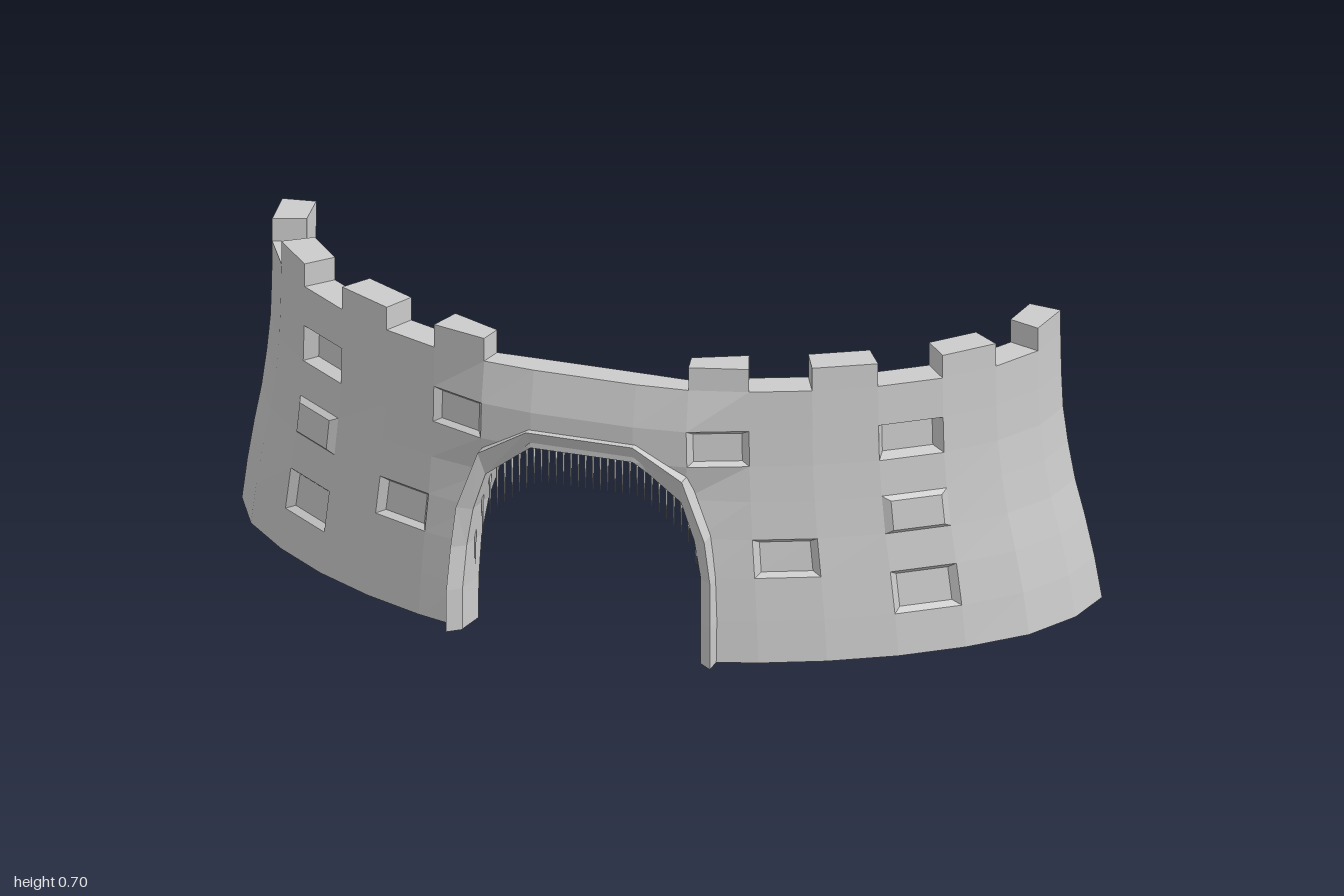
import * as THREE from 'three';

const material = new THREE.MeshStandardMaterial({ color: 0xcccccc, flatShading: true, side: THREE.DoubleSide });

// Half plan of the outer face [x, z], from the gate centre to the wall end
const TOP = [[0, 0.285], [0.12, 0.285], [0.24, 0.275], [0.37, 0.24], [0.5, 0.187], [0.63, 0.115],
  [0.75, 0.025], [0.84, -0.075], [0.9, -0.185], [0.915, -0.295]];
const BASE = [[0, 0.31], [0.12, 0.31], [0.28, 0.297], [0.4, 0.26], [0.54, 0.2], [0.68, 0.12],
  [0.805, 0.025], [0.915, -0.085], [0.98, -0.21], [1, -0.33]];
const LAST = TOP.length - 1;

// Course heights, and how far each course flares towards the base plan
const ROWS = [0, 0.1, 0.2, 0.29, 0.38, 0.465, 0.55, 0.645, 0.7];
const FLARE = [1, 0.82, 0.59, 0.35, 0.18, 0.06, 0.02, 0, 0];
const MERLON_ROW = 7;

// Gate opening (half, from ground to crown) and the outer edge of its surround
const ARCH = [[0.28, 0], [0.28, 0.1], [0.275, 0.2], [0.26, 0.29], [0.23, 0.38], [0.12, 0.465]];
const SURROUND = [[0.31, 0], [0.31, 0.1], [0.305, 0.2], [0.292, 0.3], [0.24, 0.44], [0.125, 0.508]];
const SURROUND_Z = [0.33, 0.33, 0.316, 0.317, 0.32, 0.323];

// Panels set into the wall: "column,row" -> depth (negative stands proud)
const PANELS = { '5,5': 0.03, '5,3': -0.012, '5,1': 0.015, '3,2': 0.015, '2,5': 0.012 };

function meshFromQuads(name, quads) {
  const pos = [];
  for (const [a, b, c, d] of quads) {
    for (const p of [a, b, c, a, c, d]) pos.push(p.x, p.y, p.z);
  }
  const geo = new THREE.BufferGeometry();
  geo.setAttribute('position', new THREE.Float32BufferAttribute(pos, 3));
  geo.computeVertexNormals();
  const mesh = new THREE.Mesh(geo, material);
  mesh.name = name;
  return mesh;
}

// Point on the outer face at station k (-LAST..LAST) and course j
function outer(k, j) {
  const i = Math.abs(k);
  const f = FLARE[j];
  let x = THREE.MathUtils.lerp(TOP[i][0], BASE[i][0], f);
  let z = THREE.MathUtils.lerp(TOP[i][1], BASE[i][1], f);
  let y = ROWS[j];
  if (i === 2 && j < 5) x = ARCH[j][0]; // gate jamb
  if (i < 3 && (j === 5 || j === 6)) z = i === 2 ? 0.292 : 0.306; // bulge over the gate
  if (i === 1 && j === 4) { y = ROWS[5]; z = 0.306; } // slanted corner of the arch
  return new THREE.Vector3(Math.sign(k) * x, y, z);
}

// Matching point on the inner face, offset along the plan normal
function inner(k, j) {
  const p = outer(k, j);
  const lo = TOP[Math.max(Math.abs(k) - 1, 0)];
  const hi = TOP[Math.min(Math.abs(k) + 1, LAST)];
  const n = new THREE.Vector2(lo[1] - hi[1], hi[0] - lo[0]).normalize();
  if (k === 0) n.set(0, 1);
  const thickness = Math.abs(k) < 3 ? 0.065 : 0.077;
  p.x -= Math.sign(k) * n.x * thickness;
  p.z = (Math.abs(k) < 3 && j > 3 ? 0.285 : p.z) - n.y * thickness;
  return p;
}

const column = (k) => (k >= 0 ? k : -k - 1);

function solid(k, j) {
  const c = column(k);
  if (c >= LAST || j < 0 || j > MERLON_ROW) return false;
  if (j === MERLON_ROW) return c >= 2 && c % 2 === 0;
  return c >= 2 || j >= 5 || (c === 1 && j === 4);
}

// Sloped reveal around a smaller, sunken or raised face
function panel(corners, depth) {
  const [a, b, c, d] = corners;
  const centre = new THREE.Vector3().add(a).add(b).add(c).add(d).multiplyScalar(0.25);
  const normal = b.clone().sub(a).cross(d.clone().sub(a)).normalize();
  const inset = corners.map((p) => p.clone().lerp(centre, 0.22).addScaledVector(normal, -depth));
  const quads = [inset];
  for (let i = 0; i < 4; i++) {
    const n = (i + 1) % 4;
    quads.push([corners[i], corners[n], inset[n], inset[i]]);
  }
  return quads;
}

// Shell of the chosen courses, closed wherever a neighbouring block is missing
function buildWall(name, rowFrom, rowTo) {
  const quads = [];
  for (let j = rowFrom; j <= rowTo; j++) {
    for (let k = -LAST; k < LAST; k++) {
      if (!solid(k, j)) continue;
      const front = [outer(k, j), outer(k + 1, j), outer(k + 1, j + 1), outer(k, j + 1)];
      const back = [inner(k, j), inner(k + 1, j), inner(k + 1, j + 1), inner(k, j + 1)];
      const depth = PANELS[`${column(k)},${j}`];
      if (depth) quads.push(...panel(front, depth));
      else quads.push(front);
      quads.push([back[1], back[0], back[3], back[2]]);
      if (!solid(k, j - 1)) quads.push([back[0], back[1], front[1], front[0]]);
      if (!solid(k, j + 1)) quads.push([front[3], front[2], back[2], back[3]]);
      if (!solid(k - 1, j)) quads.push([back[0], front[0], front[3], back[3]]);
      if (!solid(k + 1, j)) quads.push([front[1], back[1], back[2], front[2]]);
    }
  }
  return meshFromQuads(name, quads);
}

// Raised band following the arch: four-point section swept from one foot to the other
function buildSurround() {
  const half = ARCH.map((p, i) => {
    const [ox, oy] = SURROUND[i];
    const z = SURROUND_Z[i];
    return [[ox, oy, 0.275], [ox, oy, z], [p[0], p[1], z - 0.024], [p[0], p[1], 0.265]];
  });
  const toPoints = (side) => half.map((s) => s.map(([x, y, z]) => new THREE.Vector3(side * x, y, z)));
  const sections = [...toPoints(1), ...toPoints(-1).reverse()];
  const quads = [];
  for (let i = 0; i < sections.length - 1; i++) {
    for (let e = 0; e < 4; e++) {
      const n = (e + 1) % 4;
      quads.push([sections[i][e], sections[i + 1][e], sections[i + 1][n], sections[i][n]]);
    }
  }
  const first = sections[0];
  const last = sections[sections.length - 1];
  quads.push(first, [...last].reverse());
  return meshFromQuads('gateSurround', quads);
}

// Height of the opening at a given distance from its centre
function archHeight(x) {
  const d = Math.abs(x);
  for (let i = ARCH.length - 1; i > 0; i--) {
    const [x1, y1] = ARCH[i];
    const [x0, y0] = ARCH[i - 1];
    if (d <= x1) return y1;
    if (d <= x0) return THREE.MathUtils.mapLinear(d, x1, x0, y1, y0);
  }
  return 0;
}

// Row of thin pointed bars hanging in the gateway
function buildPortcullis() {
  const group = new THREE.Group();
  group.name = 'portcullis';
  const length = 0.11;
  const geo = new THREE.CylinderGeometry(0.004, 0.0008, length, 4);
  const count = 32;
  for (let i = 0; i < count; i++) {
    const x = THREE.MathUtils.lerp(-0.268, 0.268, i / (count - 1));
    const bar = new THREE.Mesh(geo, material);
    bar.name = 'portcullisBar';
    bar.position.set(x, archHeight(x) - length / 2 + 0.008, 0.255);
    group.add(bar);
  }
  return group;
}

export function createModel() {
  const model = new THREE.Group();
  model.name = 'castleGateWall';
  model.add(
    buildWall('curvedWall', 0, MERLON_ROW - 1),
    buildWall('battlements', MERLON_ROW, MERLON_ROW),
    buildSurround(),
    buildPortcullis(),
  );
  return model;
}
